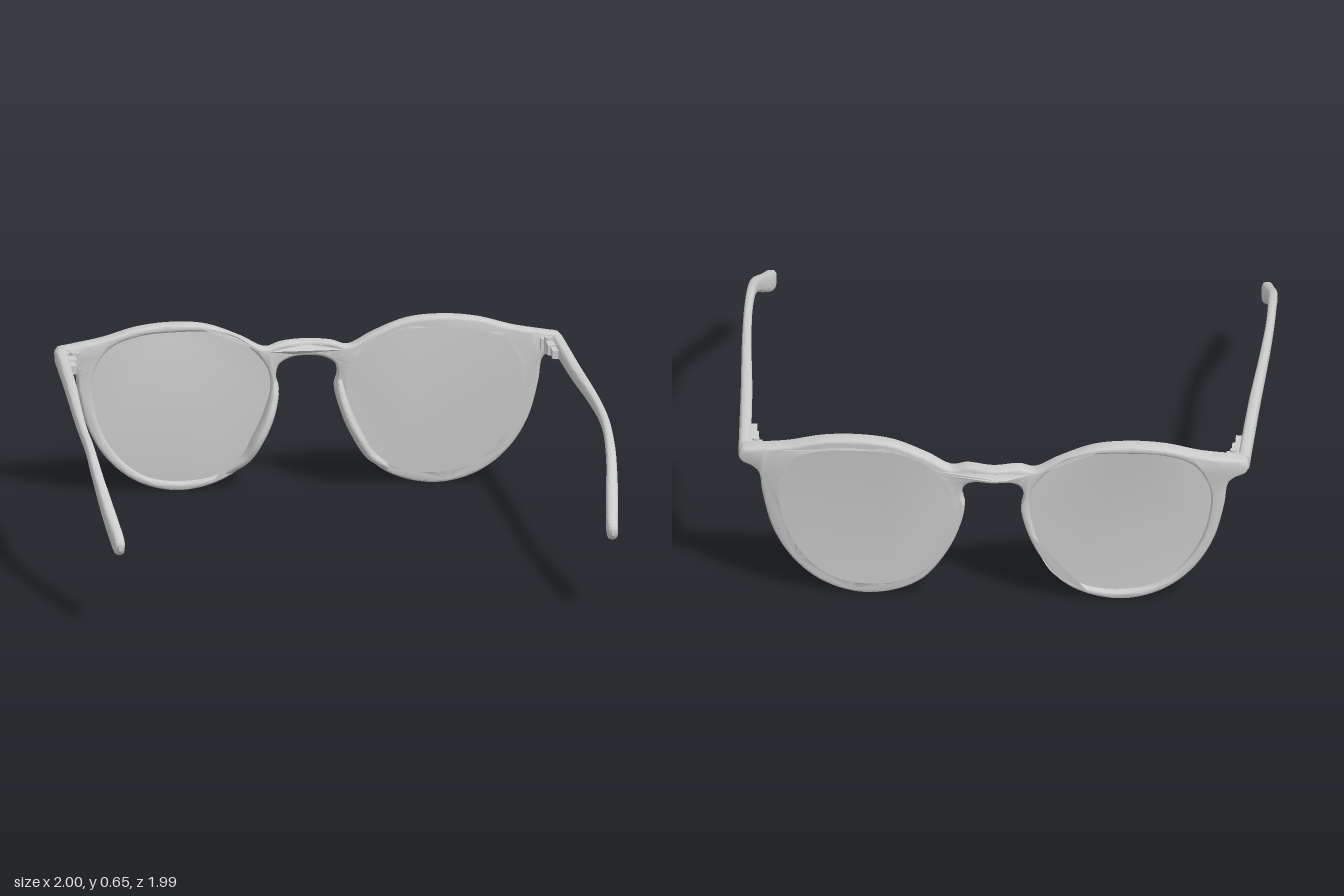
import * as THREE from 'three';
import { toCreasedNormals } from 'three/addons/utils/BufferGeometryUtils.js';

const material = new THREE.MeshStandardMaterial({ color: 0xcccccc });

// Half outline of the frame front, from bridge top round the rim to bridge bottom
const RIM = [
  [0, 0.56], [0.1, 0.558], [0.155, 0.543], [0.25, 0.59], [0.38, 0.64], [0.52, 0.652], [0.65, 0.64],
  [0.78, 0.607], [0.91, 0.587], [0.95, 0.58], [0.962, 0.555], [0.95, 0.53], [0.91, 0.513], [0.885, 0.49],
  [0.87, 0.4], [0.83, 0.255], [0.757, 0.137], [0.65, 0.05], [0.515, 0.008], [0.38, 0.02],
  [0.265, 0.075], [0.18, 0.18], [0.13, 0.285], [0.106, 0.39], [0.117, 0.435], [0.107, 0.478], [0.07, 0.5], [0, 0.505],
];
// Lens opening
const LENS = [
  [0.138, 0.42], [0.16, 0.485], [0.25, 0.575], [0.355, 0.615], [0.49, 0.623], [0.65, 0.612],
  [0.757, 0.57], [0.812, 0.484], [0.82, 0.404], [0.79, 0.265], [0.714, 0.14], [0.607, 0.06],
  [0.46, 0.037], [0.33, 0.06], [0.23, 0.128], [0.18, 0.217], [0.15, 0.31],
];

function smoothLoop(points, count) {
  const curve = new THREE.CatmullRomCurve3(points.map(([x, y]) => new THREE.Vector3(x, y, 0)), true);
  return curve.getSpacedPoints(count).slice(0, -1).map((p) => new THREE.Vector2(p.x, p.y));
}

// Depth of the wrapped front at x: swept back at the ends, bowed out at the bridge
const wrapZ = (x) => -0.935 + 0.066 * Math.abs(x) ** 2.5 - 0.033 * Math.exp(-((x / 0.085) ** 2));

// Extrude a flat shape and wrap it along the front curve
function wrappedPlate(shape, depth, bevel) {
  const geo = new THREE.ExtrudeGeometry(shape, {
    depth: depth - 2 * bevel, bevelEnabled: bevel > 0, bevelThickness: bevel,
    bevelSize: bevel, bevelOffset: -bevel, bevelSegments: 4,
  });
  geo.translate(0, 0, bevel - depth / 2);
  const pos = geo.attributes.position;
  for (let i = 0; i < pos.count; i++) {
    const x = pos.getX(i);
    pos.setZ(i, pos.getZ(i) * (1 + 0.2 * Math.abs(x)) + wrapZ(x));
  }
  return toCreasedNormals(geo, 0.7);
}

// Loft rounded sections along stations [x, y, z, sizeAlongRef, sizeAcross]
function loft(stations, ref, power, steps = 60, sides = 24) {
  const path = new THREE.CatmullRomCurve3(stations.map((s) => new THREE.Vector3(s[0], s[1], s[2])));
  const size = new THREE.CatmullRomCurve3(stations.map((s) => new THREE.Vector3(s[3], s[4], 0)), false, 'catmullrom', 0.3);
  const verts = [], index = [];
  const soft = (v) => Math.sign(v) * Math.abs(v) ** power;
  for (let i = 0; i <= steps; i++) {
    const t = i / steps;
    const c = path.getPoint(t), s = size.getPoint(t), tangent = path.getTangent(t);
    const u = ref.clone().addScaledVector(tangent, -ref.dot(tangent)).normalize();
    const v = new THREE.Vector3().crossVectors(tangent, u);
    for (let j = 0; j < sides; j++) {
      const a = (j / sides) * Math.PI * 2;
      const p = c.clone().addScaledVector(u, soft(Math.cos(a)) * s.x / 2).addScaledVector(v, soft(Math.sin(a)) * s.y / 2);
      verts.push(p.x, p.y, p.z);
      if (i < steps) {
        const k = (j + 1) % sides, n = i * sides;
        index.push(n + j, n + k, n + sides + j, n + k, n + sides + k, n + sides + j);
      }
    }
  }
  // End caps
  const first = path.getPoint(0), last = path.getPoint(1), m = verts.length / 3;
  verts.push(first.x, first.y, first.z, last.x, last.y, last.z);
  for (let j = 0; j < sides; j++) {
    const k = (j + 1) % sides, n = steps * sides;
    index.push(m, k, j, m + 1, n + j, n + k);
  }
  const geo = new THREE.BufferGeometry();
  geo.setAttribute('position', new THREE.Float32BufferAttribute(verts, 3));
  geo.setIndex(index);
  return toCreasedNormals(geo, 0.7);
}

export function createModel() {
  const group = new THREE.Group();
  const add = (name, geo, parent = group) => {
    const mesh = new THREE.Mesh(geo, material);
    mesh.name = name;
    parent.add(mesh);
    return mesh;
  };

  // Frame front with two lens openings
  const mirrored = RIM.slice(1, -1).reverse().map(([x, y]) => [-x, y]);
  const front = new THREE.Shape(smoothLoop([...RIM, ...mirrored], 320));
  for (const s of [1, -1]) {
    front.holes.push(new THREE.Path(smoothLoop(LENS.map(([x, y]) => [s * x, y]), 110)));
  }
  add('frameFront', wrappedPlate(front, 0.062, 0.011));

  for (const s of [1, -1]) {
    const side = s > 0 ? 'left' : 'right';

    // Lens, seated slightly into the rim
    const lens = LENS.map(([x, y]) => [s * (0.48 + (x - 0.48) * 1.02), 0.33 + (y - 0.33) * 1.02]);
    add(side + 'Lens', wrappedPlate(new THREE.Shape(smoothLoop(lens, 110)), 0.014, 0));

    // Nose pad, a ridge swelling behind the inner rim
    add(side + 'NosePad', loft([
      [s * 0.122, 0.415, -0.915, 0.03, 0.02],
      [s * 0.128, 0.36, -0.902, 0.07, 0.036],
      [s * 0.152, 0.28, -0.89, 0.105, 0.042],
      [s * 0.19, 0.2, -0.885, 0.112, 0.042],
      [s * 0.235, 0.125, -0.895, 0.08, 0.036],
      [s * 0.32, 0.058, -0.92, 0.03, 0.02],
    ], new THREE.Vector3(0, 0, 1), 0.9, 40));

    // Temple arm with a dropped, widened tip
    add(side + 'Arm', loft([
      [s * 0.94, 0.55, -0.86, 0.048, 0.062],
      [s * 0.946, 0.552, -0.7, 0.046, 0.06],
      [s * 0.957, 0.555, -0.4, 0.044, 0.056],
      [s * 0.977, 0.559, 0, 0.036, 0.05],
      [s * 0.984, 0.555, 0.25, 0.032, 0.046],
      [s * 0.982, 0.54, 0.42, 0.033, 0.046],
      [s * 0.975, 0.487, 0.58, 0.038, 0.055],
      [s * 0.954, 0.388, 0.78, 0.046, 0.07],
      [s * 0.939, 0.328, 0.91, 0.046, 0.079],
      [s * 0.935, 0.311, 0.955, 0.043, 0.072],
      [s * 0.934, 0.304, 0.978, 0.034, 0.052],
      [s * 0.933, 0.3, 0.99, 0.008, 0.01],
    ], new THREE.Vector3(1, 0, 0), 0.65, 110));

    // Hinge: mount on the frame, pin, and plate on the arm
    const hinge = new THREE.Group();
    hinge.name = side + 'Hinge';
    group.add(hinge);
    add('hingeMount', new THREE.BoxGeometry(0.05, 0.045, 0.05), hinge).position.set(s * 0.9, 0.552, -0.842);
    add('hingePin', new THREE.CylinderGeometry(0.013, 0.013, 0.064, 16), hinge).position.set(s * 0.9, 0.55, -0.815);
    add('hingeKnuckle', new THREE.BoxGeometry(0.032, 0.04, 0.07), hinge).position.set(s * 0.908, 0.55, -0.775);
    add('hingePlate', new THREE.BoxGeometry(0.03, 0.032, 0.13), hinge).position.set(s * 0.917, 0.55, -0.738);
  }
  return group;
}
